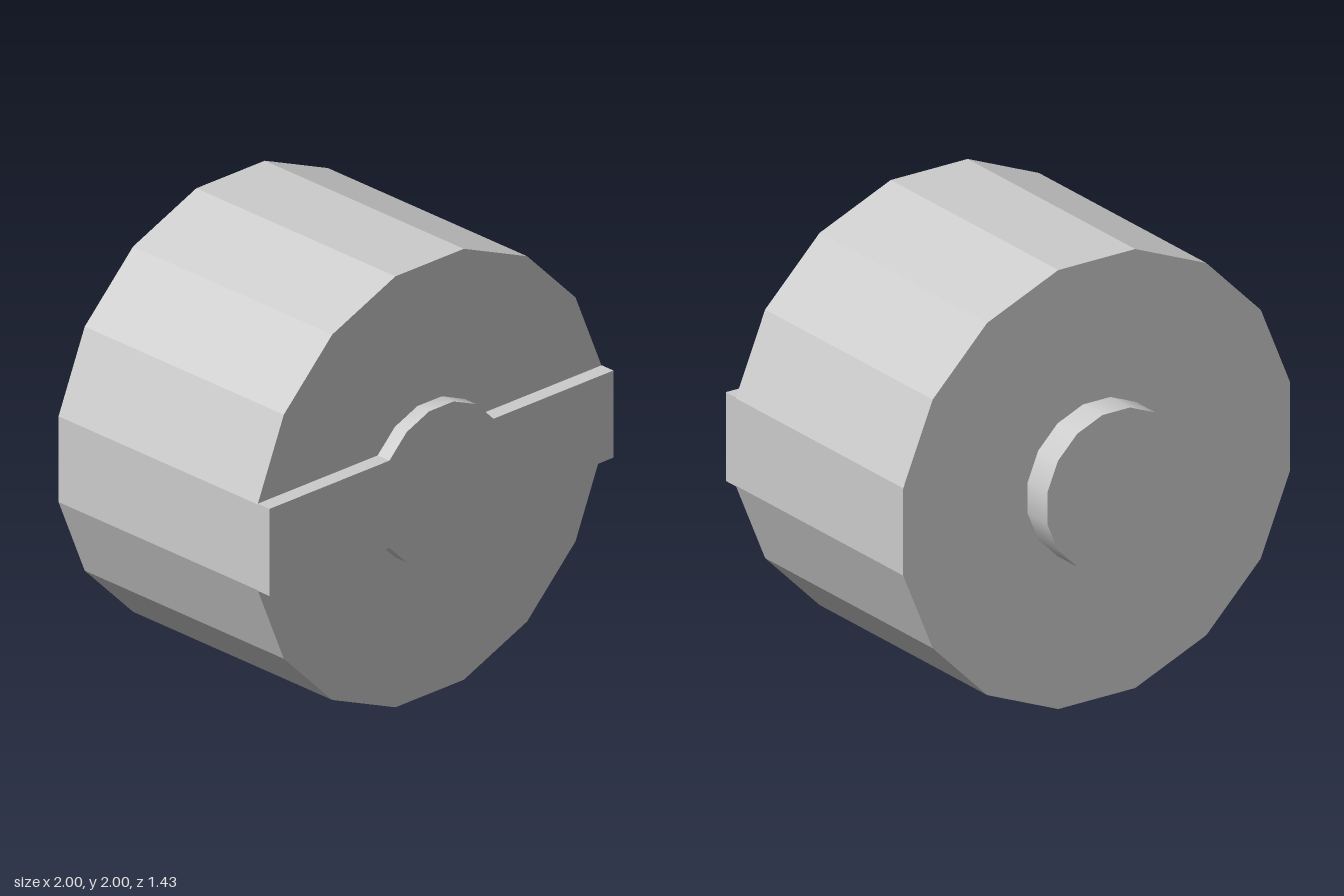
import * as THREE from 'three';
import { toCreasedNormals } from 'three/addons/utils/BufferGeometryUtils.js';

const SIDES = 16;
const HALF = Math.PI / SIDES;
const BODY_BACK = -0.572, BODY_FRONT = 0.642, END = 0.714;
const HUB_RADIUS = 0.364;

// Sixteen-sided prism along z with a flat side on top
function prism(radius, z0, z1) {
  return new THREE.CylinderGeometry(radius, radius, z1 - z0, SIDES)
    .rotateY(HALF)
    .rotateX(Math.PI / 2)
    .translate(0, 0, (z0 + z1) / 2);
}

export function createModel() {
  const group = new THREE.Group();
  const smooth = new THREE.MeshStandardMaterial({ color: 0xcccccc });
  const faceted = new THREE.MeshStandardMaterial({ color: 0xcccccc, flatShading: true });

  const add = (name, geometry, material) => {
    const mesh = new THREE.Mesh(geometry, material);
    mesh.name = name;
    mesh.position.y = 1;
    group.add(mesh);
  };

  // Faceted drum
  add('drum', prism(1 / Math.cos(HALF), BODY_BACK, BODY_FRONT), faceted);

  // Round boss on the back
  add('backBoss', prism(HUB_RADIUS, -END, BODY_BACK), smooth);

  // Raised front bar that widens into a round hub
  const arc = [];
  for (let i = 0; i < 6; i++) {
    const a = Math.PI / 2 - 5 * HALF + i * 2 * HALF;
    arc.push(new THREE.Vector2(HUB_RADIUS * Math.cos(a), HUB_RADIUS * Math.sin(a)));
  }
  const h = arc[0].y;
  const corner = (x, y) => new THREE.Vector2(x, y);
  const outline = [
    corner(1, -h), corner(1, h), ...arc,
    corner(-1, h), corner(-1, -h), ...arc.map((p) => p.clone().negate()),
  ];
  const bar = new THREE.ExtrudeGeometry(new THREE.Shape(outline), {
    depth: END - BODY_FRONT, bevelEnabled: false,
  }).translate(0, 0, BODY_FRONT);
  add('frontBar', toCreasedNormals(bar, 0.5), smooth);

  return group;
}
